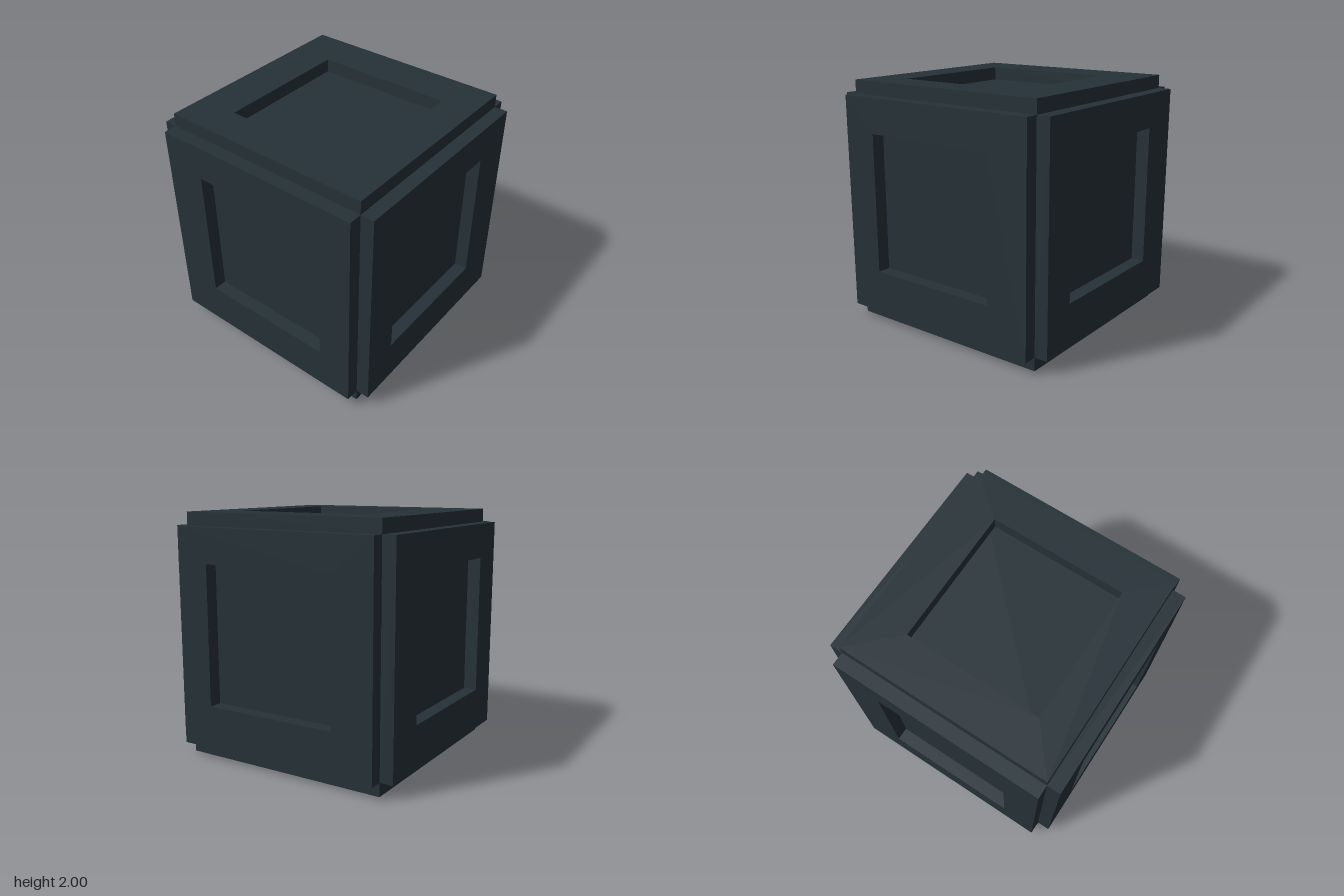
import * as THREE from 'three';

const CORE = 0.89;            // half size of the inner cube
const THICK = 1 - CORE;       // thickness of each face frame
const LOW = { x: -0.54, y: -0.537, z: -0.538 };  // recess limits, slightly off centre
const HIGH = { x: 0.605, y: 0.607, z: 0.597 };
const AXES = {
  x: new THREE.Vector3(1, 0, 0),
  y: new THREE.Vector3(0, 1, 0),
  z: new THREE.Vector3(0, 0, 1),
};

function rectangle(path, u0, v0, u1, v1) {
  path.moveTo(u0, v0);
  path.lineTo(u1, v0);
  path.lineTo(u1, v1);
  path.lineTo(u0, v1);
  path.closePath();
  return path;
}

// Square frame with a window, spanning axes u and v and extruded along n
function frameGeometry(u, v, n) {
  const shape = rectangle(new THREE.Shape(), -CORE, -CORE, CORE, CORE);
  shape.holes.push(rectangle(new THREE.Path(), LOW[u], LOW[v], HIGH[u], HIGH[v]));
  const geometry = new THREE.ExtrudeGeometry(shape, { depth: THICK, bevelEnabled: false });
  return geometry.applyMatrix4(new THREE.Matrix4().makeBasis(AXES[u], AXES[v], AXES[n]));
}

export function createModel() {
  const model = new THREE.Group();
  model.name = 'panelledCube';
  const material = new THREE.MeshStandardMaterial({ color: 0x263238 });

  // Inner cube, whose faces form the recess floors
  const core = new THREE.Mesh(new THREE.BoxGeometry(2 * CORE, 2 * CORE, 2 * CORE), material);
  core.name = 'core';
  core.position.y = 1;
  model.add(core);

  // A raised frame on each of the six faces, in opposite pairs
  const pairs = [
    ['y', 'z', 'x', 'leftFrame', 'rightFrame'],
    ['z', 'x', 'y', 'topFrame', 'bottomFrame'],
    ['x', 'y', 'z', 'frontFrame', 'backFrame'],
  ];
  for (const [u, v, n, plusName, minusName] of pairs) {
    const geometry = frameGeometry(u, v, n);
    for (const [name, offset] of [[plusName, CORE], [minusName, -1]]) {
      const frame = new THREE.Mesh(geometry, material);
      frame.name = name;
      frame.position.copy(AXES[n]).multiplyScalar(offset);
      frame.position.y += 1;
      model.add(frame);
    }
  }
  return model;
}
